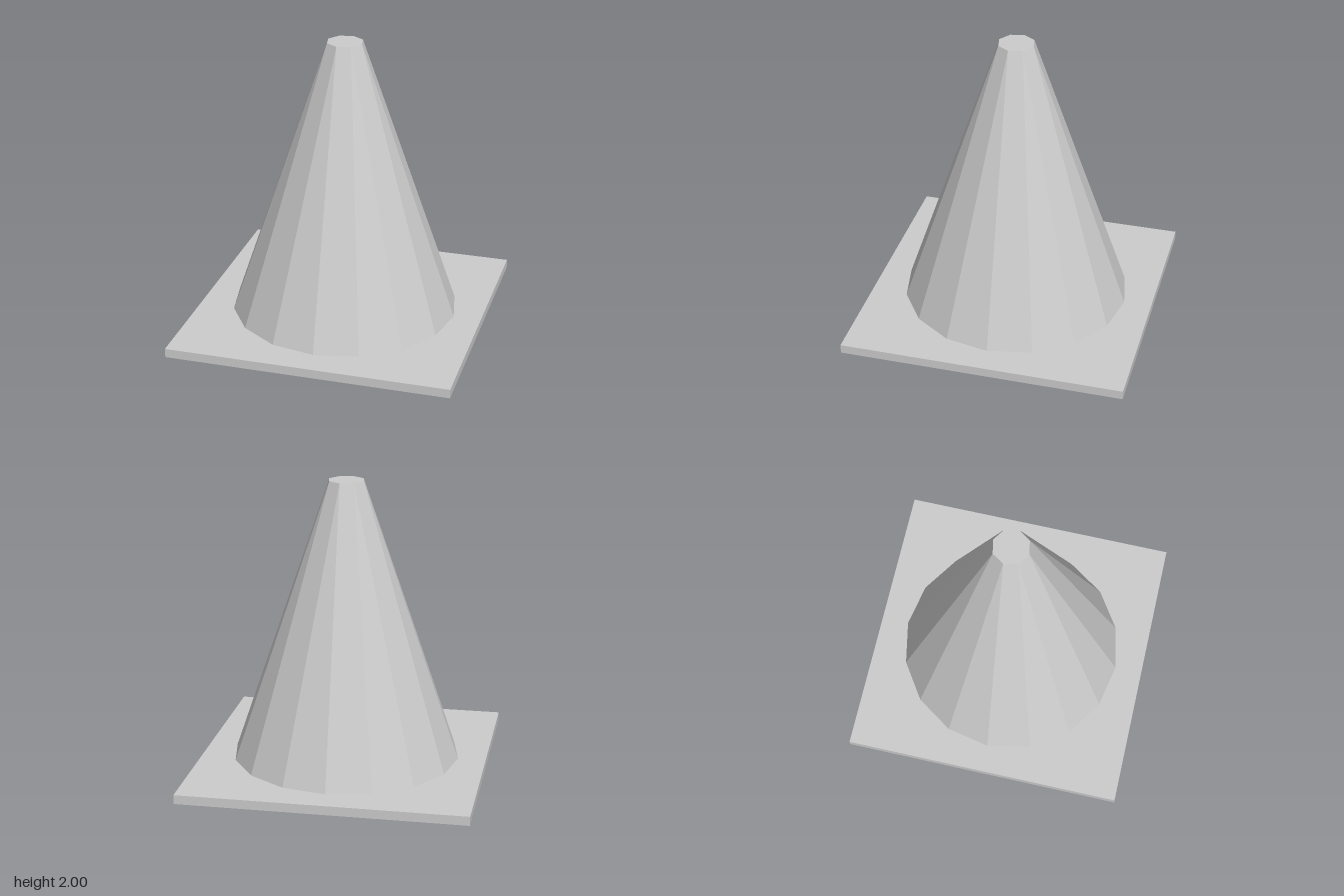
import * as THREE from 'three';

const SIDES = 16, BASE_H = 0.0625, HEIGHT = 2;

// Point on a ring; step counts sixteenths of a turn from +x towards +z
function ringPoint(radius, step, y) {
  const a = (step / SIDES) * Math.PI * 2;
  return [radius * Math.cos(a), y, radius * Math.sin(a)];
}

// Sixteen-sided foot tapering to an eight-sided tip: each tip corner joins two foot corners
function coneGeometry(footRadius, tipRadius) {
  const positions = [];
  const tri = (...corners) => corners.forEach((c) => positions.push(...c));
  const foot = (i) => ringPoint(footRadius, i, BASE_H);
  const tip = (i) => ringPoint(tipRadius, i + 0.5, HEIGHT);
  for (let i = 0; i < SIDES; i += 2) {
    tri(foot(i), tip(i), foot(i + 1)); // narrow facet
    tri(foot(i + 1), tip(i), tip(i + 2)); // wide facet
    tri(foot(i + 1), tip(i + 2), foot(i + 2));
    tri([0, HEIGHT, 0], tip(i + 2), tip(i)); // flat top
  }
  const geometry = new THREE.BufferGeometry();
  geometry.setAttribute('position', new THREE.Float32BufferAttribute(positions, 3));
  geometry.computeVertexNormals();
  return geometry;
}

export function createModel() {
  const group = new THREE.Group();
  group.name = 'trafficCone';
  const material = new THREE.MeshStandardMaterial({ color: 0xcccccc, flatShading: true });

  // Square base plate
  const base = new THREE.Mesh(new THREE.BoxGeometry(1.952, BASE_H, 1.952), material);
  base.name = 'basePlate';
  base.position.y = BASE_H / 2;

  // Tapered body
  const cone = new THREE.Mesh(coneGeometry(0.784, 0.125), material);
  cone.name = 'coneBody';

  group.add(base, cone);
  return group;
}
